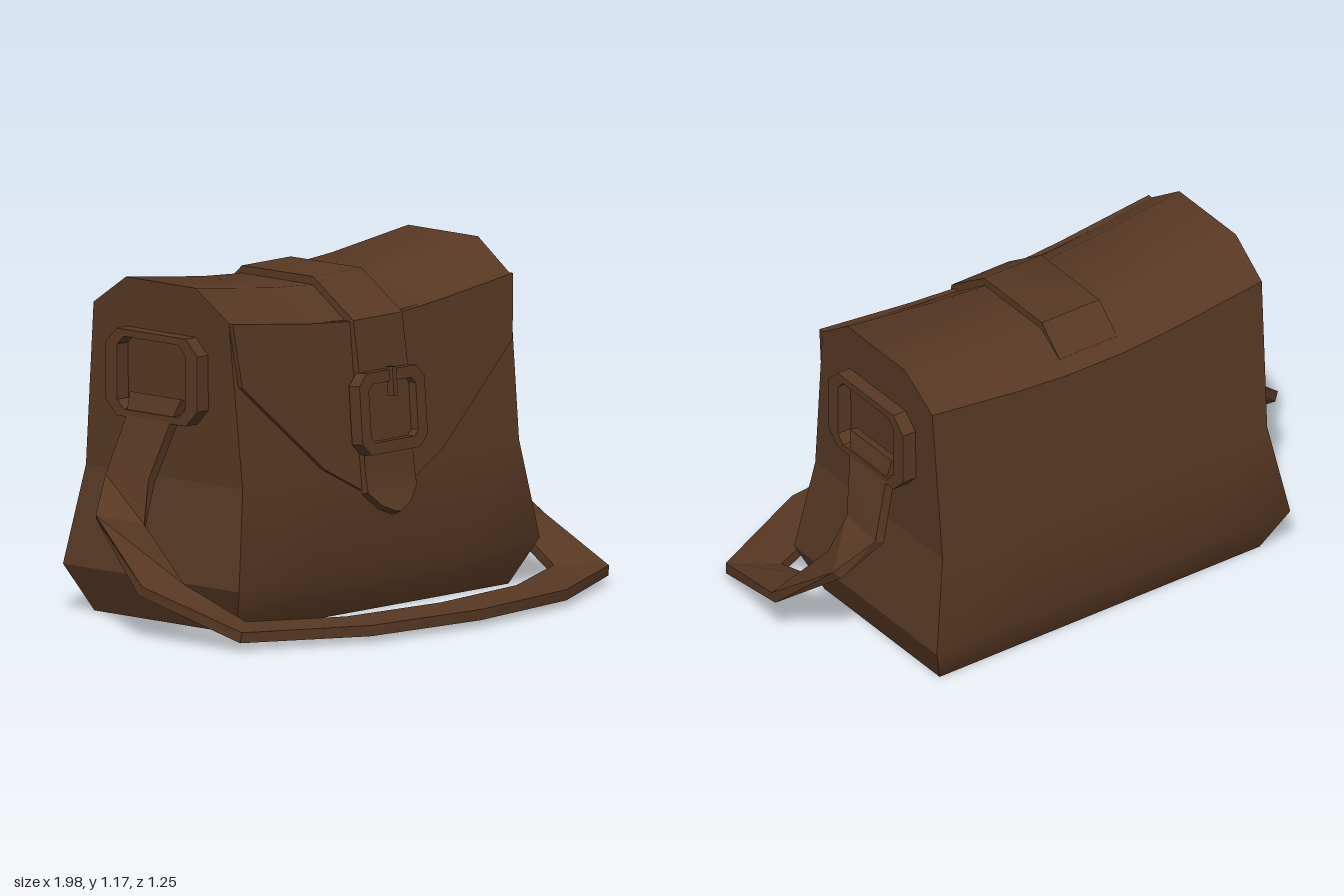
import * as THREE from 'three';
import { toCreasedNormals } from 'three/addons/utils/BufferGeometryUtils.js';

const leather = new THREE.MeshStandardMaterial({ color: 0x573823 });
leather.name = 'brown leather';

function part(name, geometry) {
  const mesh = new THREE.Mesh(geometry, leather);
  mesh.name = name;
  return mesh;
}

// Skin between equal-length rows of points; closed joins the last point to the first.
function skin(rows, closed, caps, crease) {
  const pos = [];
  const tri = (a, b, c) => pos.push(...a, ...b, ...c);
  const n = rows[0].length;
  for (let i = 0; i < rows.length - 1; i++) {
    for (let j = 0; j < (closed ? n : n - 1); j++) {
      const k = (j + 1) % n;
      tri(rows[i][j], rows[i + 1][j], rows[i + 1][k]);
      tri(rows[i][j], rows[i + 1][k], rows[i][k]);
    }
  }
  if (caps) {
    const first = rows[0], last = rows[rows.length - 1];
    for (let j = 1; j < n - 1; j++) {
      tri(first[0], first[j], first[j + 1]);
      tri(last[0], last[j + 1], last[j]);
    }
  }
  const g = new THREE.BufferGeometry();
  g.setAttribute('position', new THREE.Float32BufferAttribute(pos, 3));
  return toCreasedNormals(g, crease);
}

// Flat band through stations given as [edge A, edge B].
function ribbon(stations, thickness, crease) {
  const edges = stations.map(s => s.map(p => new THREE.Vector3(...p)));
  const mid = edges.map(([a, b]) => a.clone().add(b).multiplyScalar(0.5));
  const rows = edges.map(([a, b], i) => {
    const t = mid[Math.min(i + 1, mid.length - 1)].clone().sub(mid[Math.max(i - 1, 0)]);
    const n = t.cross(a.clone().sub(b)).normalize().multiplyScalar(thickness / 2);
    return [a.clone().sub(n), b.clone().sub(n), b.clone().add(n), a.clone().add(n)].map(v => v.toArray());
  });
  return skin(rows, true, true, crease);
}

// Rectangle with clipped corners
function clipped(Type, w, h, c) {
  const x = w / 2, y = h / 2;
  return new Type([[x, -y + c], [x, y - c], [x - c, y], [-x + c, y], [-x, y - c], [-x, -y + c], [-x + c, -y], [x - c, -y]]
    .map(p => new THREE.Vector2(...p)));
}

function frame(w, h, c, iw, ih, ic, depth) {
  const shape = clipped(THREE.Shape, w, h, c);
  shape.holes.push(clipped(THREE.Path, iw, ih, ic));
  return new THREE.ExtrudeGeometry(shape, { depth, bevelEnabled: false });
}

// Body levels: height, front z, back z, half width, sag at the middle
const levels = [
  [0, 0.115, -0.545, 0.67, 0],
  [0.16, 0.195, -0.625, 0.74, 0],
  [0.5, 0.155, -0.575, 0.68, 0],
  [1.065, 0.1, -0.53, 0.69, 0.065],
  [1.17, -0.05, -0.375, 0.695, 0.065],
];

function bodyGeometry() {
  const rows = [-1, -0.46, -0.17, 0.17, 0.46, 1].map(u => {
    const at = (l, z) => [u * l[3], l[0] - l[4] * (1 - Math.pow(Math.abs(u), 1.6)), z];
    return [...levels.map(l => at(l, l[1])), ...[...levels].reverse().map(l => at(l, l[2]))];
  });
  return skin(rows, true, false, 0.68);
}

function endGeometry(side) {
  const rows = levels.map(([y, front, back, w]) => {
    const row = [[side * w, y, front], [side * w, y, back]];
    return side > 0 ? row : row.reverse();
  });
  return skin(rows.map(r => r.reverse()), false, false, 0.1);
}

// Front surface of the body at a height
function frontZ(y) {
  return y < 0.5 ? 0.195 - (y - 0.16) * 0.118 : 0.155 - (y - 0.5) * 0.097;
}

function flapGeometry() {
  const half = [[0.12, 0.43], [0.29, 0.52], [0.665, 0.845], [0.69, 1.065], [0.32, 1.02], [0.12, 1.003]];
  const outline = [...half, ...half.map(([x, y]) => [-x, y]).reverse()];
  const shape = new THREE.Shape(outline.map(p => new THREE.Vector2(...p)));
  const g = new THREE.ExtrudeGeometry(shape, { depth: 0.022, bevelEnabled: false });
  const p = g.attributes.position;
  for (let i = 0; i < p.count; i++) p.setZ(i, p.getZ(i) + frontZ(p.getY(i)) - 0.004);
  g.computeVertexNormals();
  return g;
}

export function createModel() {
  const model = new THREE.Group();
  model.name = 'satchel';

  // Bag
  model.add(part('body', bodyGeometry()));
  for (const side of [1, -1]) model.add(part(side > 0 ? 'leftEnd' : 'rightEnd', endGeometry(side)));
  model.add(part('flap', flapGeometry()));

  // Closing strap: half width, height, z, ending in a lifted point
  const closing = [
    [0.12, 1.03, -0.47], [0.12, 1.12, -0.375], [0.12, 1.122, -0.05], [0.12, 1.0, 0.128],
    [0.12, 0.78, 0.16], [0.12, 0.5, 0.18], [0.12, 0.42, 0.195], [0.07, 0.37, 0.215], [0.012, 0.345, 0.228],
  ];
  model.add(part('closingStrap', ribbon(closing.map(([w, y, z]) => [[w, y, z], [-w, y, z]]), 0.03, 0.68)));

  // Front buckle
  const buckle = new THREE.Group();
  buckle.name = 'frontBuckle';
  buckle.position.set(0, 0.69, 0.165);
  buckle.rotation.x = -0.08;
  buckle.add(part('buckleFrame', frame(0.32, 0.28, 0.04, 0.23, 0.2, 0.02, 0.05)));
  const prong = part('prong', new THREE.BoxGeometry(0.02, 0.1, 0.03));
  prong.position.set(0, 0.1, 0.05);
  buckle.add(prong);
  model.add(buckle);

  // Side rings holding the shoulder strap
  for (const side of [1, -1]) {
    const ring = part(side > 0 ? 'leftRing' : 'rightRing', frame(0.43, 0.3, 0.055, 0.315, 0.25, 0.03, 0.065));
    ring.position.set(side * 0.675, 0.85, -0.215);
    ring.rotation.y = side * Math.PI / 2;
    model.add(ring);
  }

  // Shoulder strap: outer and inner edge from the left ring to the front middle
  const half = [
    [[0.70, 0.78, -0.335], [0.70, 0.78, -0.095]],
    [[0.722, 0.70, -0.33], [0.722, 0.70, -0.125]],
    [[0.79, 0.5, -0.365], [0.775, 0.5, -0.18]],
    [[0.92, 0.38, -0.3], [0.835, 0.355, -0.155]],
    [[0.99, 0.17, -0.03], [0.815, 0.16, 0]],
    [[0.905, 0.045, 0.36], [0.76, 0.05, 0.24]],
    [[0.48, 0.04, 0.565], [0.42, 0.042, 0.39]],
  ];
  const mirrored = half.map(s => s.map(([x, y, z]) => [-x, y, z])).reverse();
  const middle = [[0, 0.04, 0.62], [0, 0.042, 0.435]];
  model.add(part('shoulderStrap', ribbon([...half, middle, ...mirrored], 0.037, 0.4)));

  return model;
}
